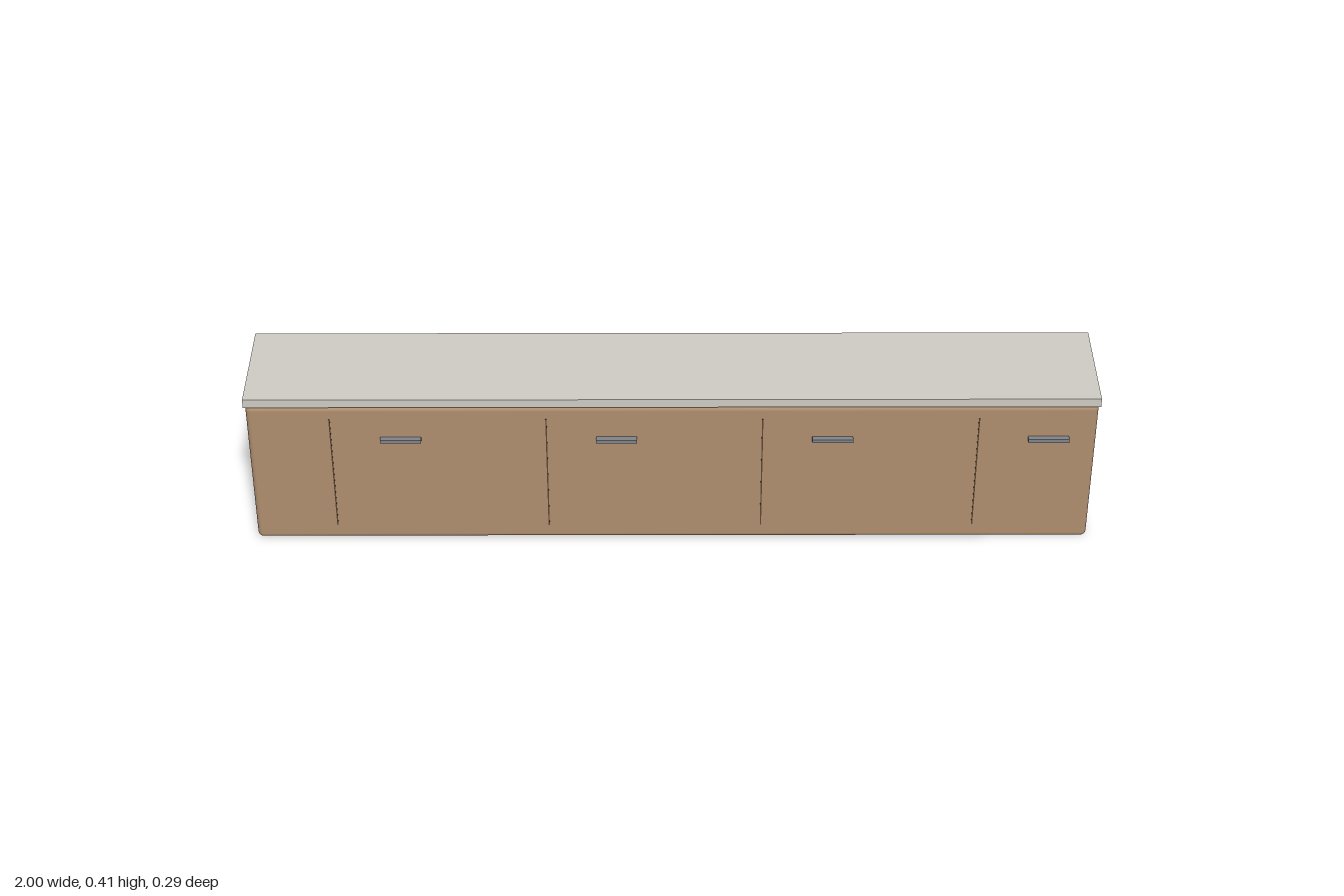
import * as THREE from 'three';
import { RoundedBoxGeometry } from 'three/addons/geometries/RoundedBoxGeometry.js';

const wood = new THREE.MeshStandardMaterial({ color: 0xb08f70 });
const stone = new THREE.MeshStandardMaterial({ color: 0xd0ccc5 });
const metal = new THREE.MeshStandardMaterial({ color: 0x80858a });
const shadow = new THREE.MeshStandardMaterial({ color: 0x5c4634 });

export function createModel() {
  const model = new THREE.Group();
  model.name = 'sideboard';

  const add = (name, geometry, material, x, y, z) => {
    const mesh = new THREE.Mesh(geometry, material);
    mesh.name = name;
    mesh.position.set(x, y, z);
    model.add(mesh);
  };

  // Cabinet body with softly rounded edges
  add('cabinetBody', new RoundedBoxGeometry(1.993, 0.387, 0.27, 5, 0.013), wood, 0, 0.1935, -0.005);

  // Flat worktop with a slight overhang
  add('worktop', new THREE.BoxGeometry(2, 0.022, 0.275), stone, 0, 0.398, -0.0055);

  // Four door seams, each with a bar handle to its right
  const seam = new THREE.BoxGeometry(0.003, 0.312, 0.004);
  const handle = new THREE.BoxGeometry(0.096, 0.009, 0.015);
  for (let i = 0; i < 4; i++) {
    const x = -0.802 + i * 0.507;
    add(`doorSeam${i + 1}`, seam, shadow, x, 0.196, 0.13);
    add(`handle${i + 1}`, handle, metal, x + 0.165, 0.2965, 0.137);
  }
  return model;
}
